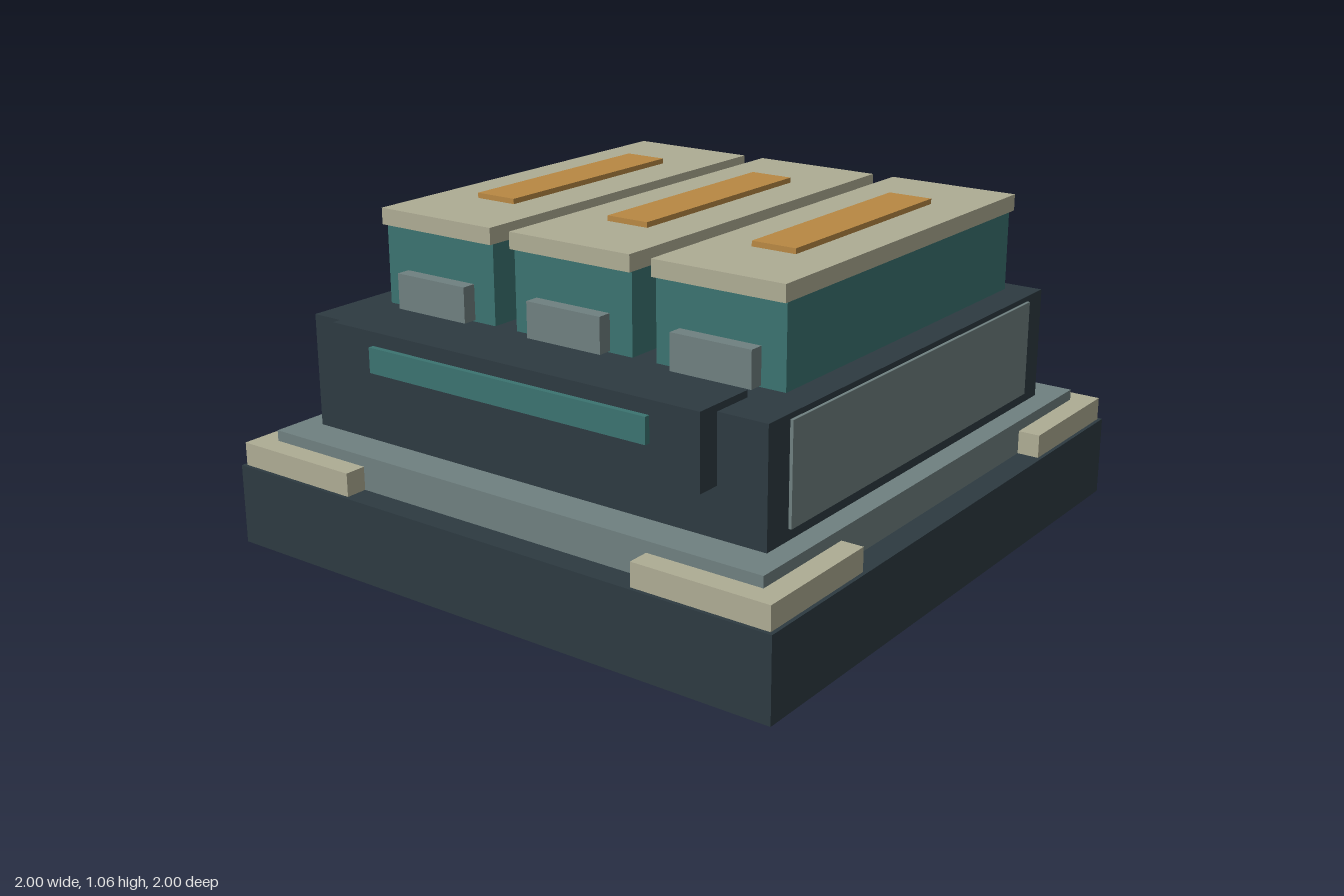
import * as THREE from 'three';

const mat = (name, color) => {
  const m = new THREE.MeshStandardMaterial({ color });
  m.name = name;
  return m;
};

export function createModel() {
  const dark = mat('dark slate', 0x2d3a41);
  const grey = mat('steel grey', 0x6f8080);
  const teal = mat('teal', 0x3b7370);
  const beige = mat('beige', 0xaeac94);
  const amber = mat('amber', 0xb88843);

  const model = new THREE.Group();
  model.name = 'machineBlock';

  // Box given by its extents on each axis
  const box = (name, material, [x0, x1], [y0, y1], [z0, z1], parent = model) => {
    const mesh = new THREE.Mesh(new THREE.BoxGeometry(x1 - x0, y1 - y0, z1 - z0), material);
    mesh.position.set((x0 + x1) / 2, (y0 + y1) / 2, (z0 + z1) / 2);
    mesh.name = name;
    parent.add(mesh);
  };

  // Base slab, raised plate and main housing
  box('base', dark, [-1, 1], [0, 0.26], [-1, 1]);
  box('plinthPlate', grey, [-0.917, 0.917], [0.26, 0.37], [-0.917, 0.917]);
  box('housing', dark, [-0.845, 0.845], [0.37, 0.733], [-0.795, 0.795]);

  // Corner pads on the base
  const span = (s, a, b) => (s > 0 ? [a, b] : [-b, -a]);
  for (const sx of [-1, 1])
    for (const sz of [-1, 1])
      box('cornerPad', beige, span(sx, 0.537, 0.988), [0.26, 0.335], span(sz, 0.537, 0.988));

  // Side panels
  for (const s of [-1, 1])
    box('sidePanel', grey, span(s, 0.84, 0.855), [0.405, 0.716], [-0.693, 0.693]);

  // Front console with its display strip
  box('console', dark, [-0.682, 0.682], [0.523, 0.754], [0.655, 0.872]);
  box('displayStrip', teal, [-0.516, 0.516], [0.63, 0.71], [0.865, 0.89]);

  // Three capped modules
  for (const x of [-0.526, 0, 0.526]) {
    const unit = new THREE.Group();
    unit.name = 'module';
    unit.position.x = x;
    model.add(unit);
    box('moduleBody', teal, [-0.22, 0.22], [0.733, 0.99], [-0.73, 0.563], unit);
    box('moduleCap', beige, [-0.225, 0.225], [0.99, 1.043], [-0.755, 0.58], unit);
    box('capInlay', amber, [-0.075, 0.075], [1.043, 1.06], [-0.475, 0.302], unit);
    box('latch', grey, [-0.138, 0.138], [0.738, 0.852], [0.555, 0.61], unit);
  }
  return model;
}
